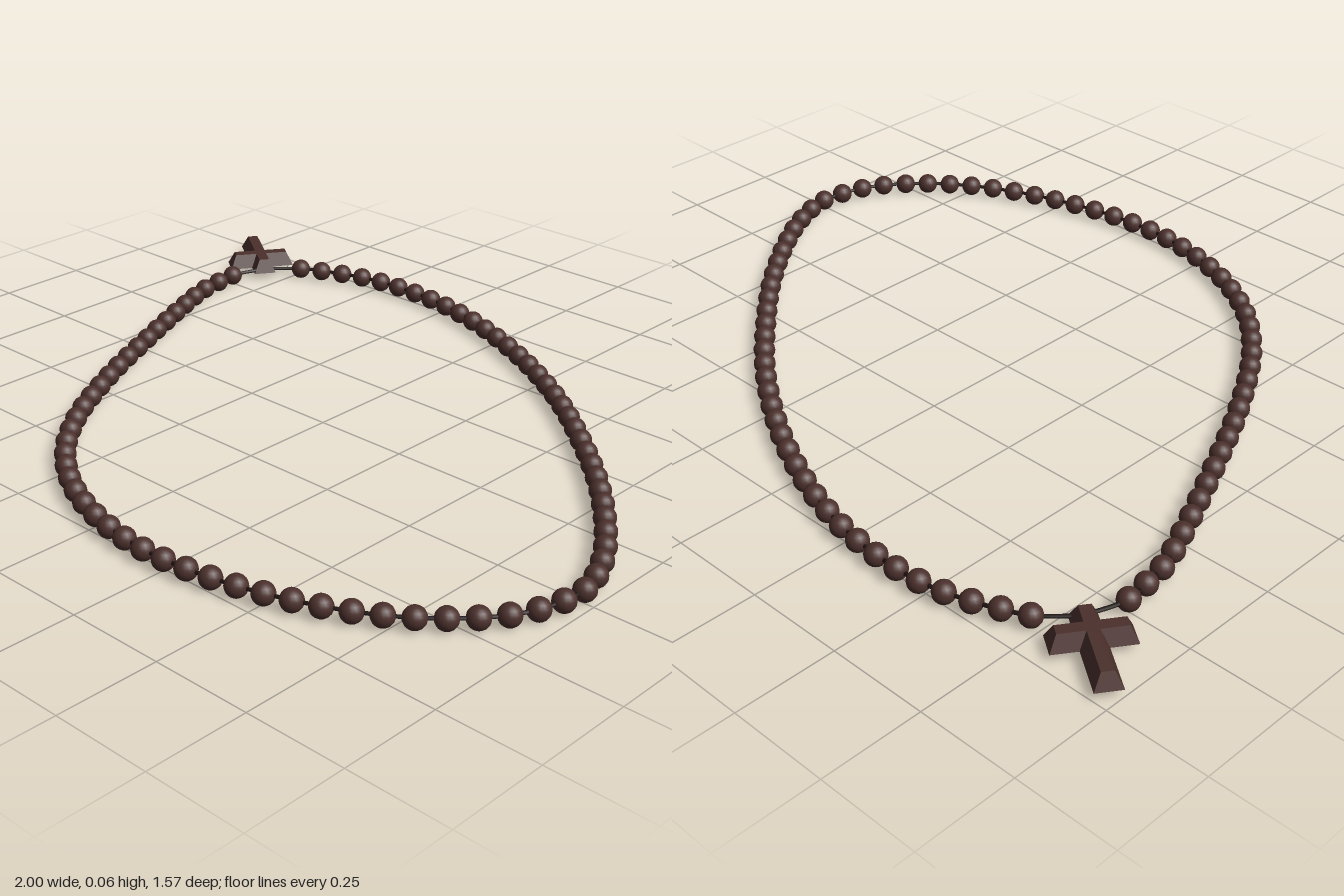
import * as THREE from 'three';

const Y = 0.029;            // height of the strand's centre line
const BEADS = 77;
const BEAD_RADIUS = 0.027;

// Loop from the bead behind the cross, clockwise, back to the cross (x, z)
const PATH = [
  [-0.725, -0.671], [-0.604, -0.725], [-0.484, -0.754], [-0.289, -0.751], [-0.104, -0.709],
  [0.131, -0.61], [0.356, -0.473], [0.553, -0.313], [0.738, -0.134], [0.896, 0.067],
  [0.955, 0.182], [0.971, 0.243], [0.949, 0.369], [0.882, 0.476], [0.735, 0.602],
  [0.503, 0.706], [0.249, 0.754], [0.059, 0.741], [-0.126, 0.682], [-0.289, 0.578],
  [-0.417, 0.439], [-0.551, 0.219], [-0.663, -0.013], [-0.767, -0.246], [-0.813, -0.366],
  [-0.832, -0.495],
];

function strand(points) {
  const curve = new THREE.CatmullRomCurve3(points.map(([x, z]) => new THREE.Vector3(x, Y, z)));
  curve.arcLengthDivisions = 1000;
  return curve;
}

// Bar with a flat underside and a top face drawn in on all sides
function bevelledBar(length, width, height, inset) {
  const geometry = new THREE.BoxGeometry(length, height, width);
  const p = geometry.attributes.position;
  for (let i = 0; i < p.count; i++) {
    if (p.getY(i) > 0) {
      p.setX(i, p.getX(i) - Math.sign(p.getX(i)) * inset);
      p.setZ(i, p.getZ(i) - Math.sign(p.getZ(i)) * inset);
    }
  }
  geometry.computeVertexNormals();
  return geometry;
}

export function createModel() {
  const group = new THREE.Group();
  group.name = 'beadNecklace';
  const wood = new THREE.MeshStandardMaterial({ color: 0x4b302c });
  const cordMaterial = new THREE.MeshStandardMaterial({ color: 0x1c1210 });

  // Beads evenly spaced along the strand
  const beads = new THREE.Group();
  beads.name = 'beads';
  const beadGeometry = new THREE.SphereGeometry(BEAD_RADIUS, 16, 12);
  for (const position of strand(PATH).getSpacedPoints(BEADS - 1)) {
    const bead = new THREE.Mesh(beadGeometry, wood);
    bead.name = 'bead';
    bead.position.copy(position);
    beads.add(bead);
  }
  group.add(beads);

  // Cord through the beads, both ends running into the cross
  const knot = [-0.8, -0.6];
  const cord = new THREE.Mesh(
    new THREE.TubeGeometry(strand([knot, ...PATH, knot]), 240, 0.005, 6), cordMaterial);
  cord.name = 'cord';
  group.add(cord);

  // Cross: long bar plus crossbar, lying flat
  const cross = new THREE.Group();
  cross.name = 'cross';
  const longBar = new THREE.Mesh(bevelledBar(0.237, 0.062, 0.037, 0.017), wood);
  longBar.name = 'crossLongBar';
  longBar.position.x = -0.0365;
  const crossBar = new THREE.Mesh(bevelledBar(0.184, 0.062, 0.037, 0.017), wood);
  crossBar.name = 'crossBar';
  crossBar.rotation.y = Math.PI / 2;
  cross.add(longBar, crossBar);
  cross.position.set(-0.856, 0.0395, -0.634);
  cross.rotation.y = -0.61;
  group.add(cross);

  return group;
}
